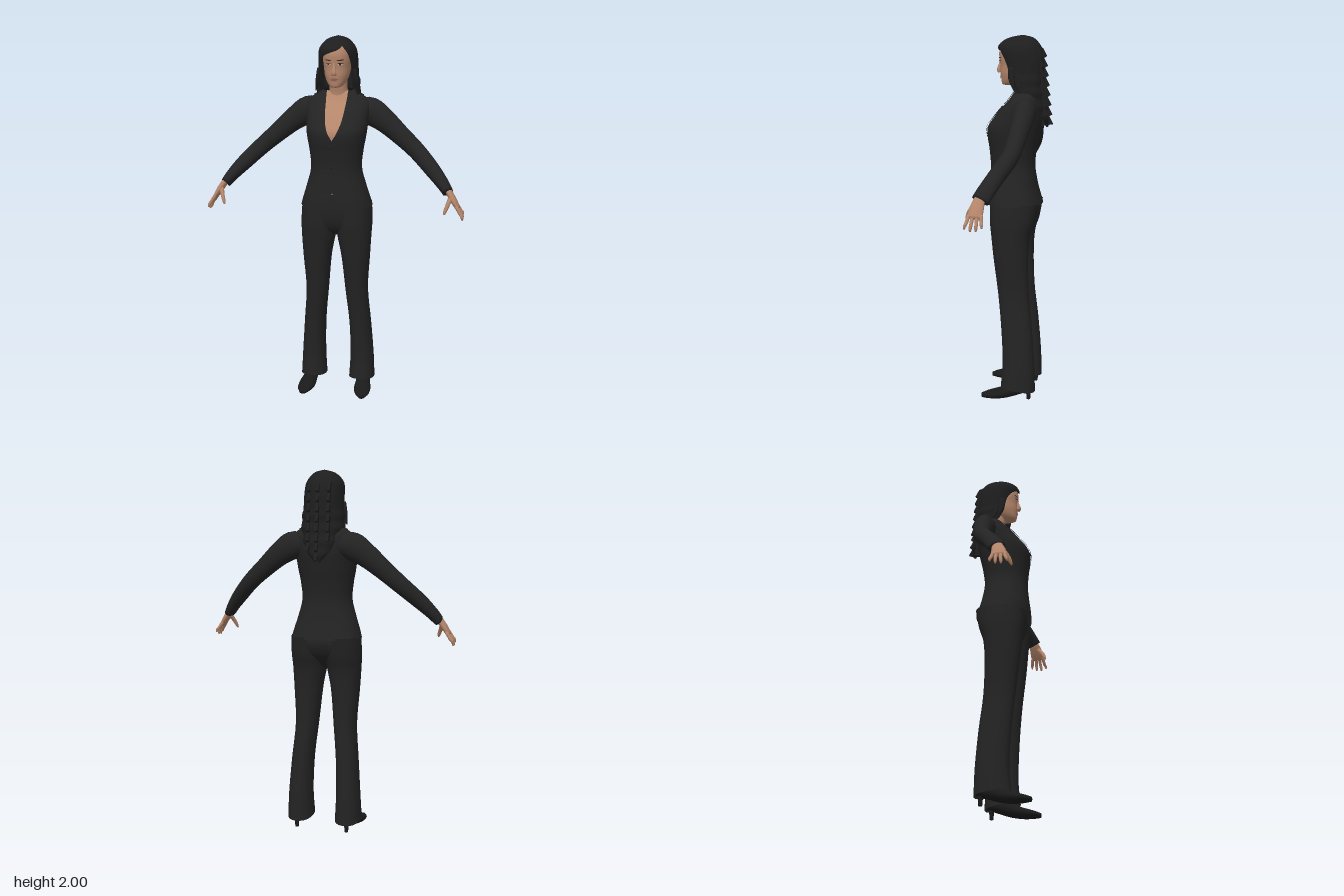
import * as THREE from 'three';
import { mergeVertices } from 'three/addons/utils/BufferGeometryUtils.js';

const mat = (name, color, side = THREE.DoubleSide) => {
  const m = new THREE.MeshStandardMaterial({ color, side });
  m.name = name;
  return m;
};

// smooth interpolation of a table whose rows start with an ascending key
function at(table, k) {
  const n = table.length - 1;
  let i = 0;
  while (i < n - 1 && k > table[i + 1][0]) i++;
  const p = table[i], q = table[i + 1], h = q[0] - p[0];
  const t = THREE.MathUtils.clamp((k - p[0]) / h, 0, 1);
  const slope = (j, c) => {
    const a = table[Math.max(j - 1, 0)], b = table[Math.min(j + 1, n)];
    return (b[c] - a[c]) / (b[0] - a[0]);
  };
  return p.map((_, c) => {
    const t2 = t * t, t3 = t2 * t;
    return (2 * t3 - 3 * t2 + 1) * p[c] + (t3 - 2 * t2 + t) * h * slope(i, c)
      + (3 * t2 - 2 * t3) * q[c] + (t3 - t2) * h * slope(i + 1, c);
  });
}

// keys of a table with m steps between rows
function steps(table, m) {
  const out = [table[0][0]];
  for (let i = 1; i < table.length; i++)
    for (let j = 1; j <= m; j++) out.push(THREE.MathUtils.lerp(table[i - 1][0], table[i][0], j / m));
  return out;
}

// smooth grid surface; fn(u, key) gives a point, u runs 0..1
function surface(fn, nu, keys) {
  const pos = [], idx = [], s = nu + 1;
  keys.forEach((k, j) => {
    for (let i = 0; i <= nu; i++) pos.push(...fn(i / nu, k, j));
  });
  for (let j = 0; j < keys.length - 1; j++)
    for (let i = 0; i < nu; i++) {
      const a = j * s + i;
      idx.push(a, a + 1, a + s + 1, a, a + s + 1, a + s);
    }
  let g = new THREE.BufferGeometry();
  g.setAttribute('position', new THREE.Float32BufferAttribute(pos, 3));
  g.setIndex(idx);
  g = mergeVertices(g, 1e-5);
  g.computeVertexNormals();
  return g;
}

function mirrored(g) {
  const m = g.clone().scale(-1, 1, 1), ix = m.index;
  for (let i = 0; i < ix.count; i += 3) {
    const b = ix.getX(i + 1);
    ix.setX(i + 1, ix.getX(i + 2));
    ix.setX(i + 2, b);
  }
  m.computeVertexNormals();
  return m;
}

// body rings: rows [y, half width, front z, back z, centre x]; angle 0 is the front
const E = 0.88;
const pw = (v) => Math.sign(v) * Math.abs(v) ** E;
function ring(table, y, a, off = 0) {
  const [, w, zf, zb, cx = 0] = at(table, y);
  return [cx + (w + off) * pw(Math.sin(a)), y, (zf + zb) / 2 + ((zf - zb) / 2 + off) * pw(Math.cos(a))];
}
const angleAt = (table, y, x) =>
  Math.sign(x) * Math.asin(Math.min(1, Math.abs(x) / Math.max(at(table, y)[1], 1e-4)) ** (1 / E));
const loft = (table, m = 4, nu = 40) => surface((u, y) => ring(table, y, u * Math.PI * 2), nu, steps(table, m));

// closed limb along a path: rows [x, y, z, radius along ref, other radius]
function limb(rows, ref = [0, 0, 1], nu = 14, m = 4) {
  const table = rows.map((r, i) => [i, ...r]), keys = steps(table, m);
  keys.unshift(0);
  keys.push(rows.length - 1);
  const R = new THREE.Vector3(...ref), last = keys.length - 1;
  return surface((u, k, j) => {
    const [, x, y, z, ra, rb] = at(table, k), s = j === 0 || j === last ? 0 : 1;
    const p = at(table, k - 0.05), q = at(table, k + 0.05);
    const t = new THREE.Vector3(q[1] - p[1], q[2] - p[2], q[3] - p[3]).normalize();
    const A = R.clone().addScaledVector(t, -R.dot(t)).normalize();
    const B = t.clone().cross(A), a = u * Math.PI * 2;
    return new THREE.Vector3(x, y, z).addScaledVector(A, s * ra * Math.cos(a))
      .addScaledVector(B, s * rb * Math.sin(a)).toArray();
  }, nu, keys);
}

export function createModel() {
  const model = new THREE.Group();
  const suit = mat('suit black', 0x232323), hairMat = mat('hair black', 0x1e1e1e);
  const skin = mat('skin', 0xb5866b), lip = mat('lips', 0x9a6352), shoeMat = mat('shoe black', 0x1a1a1a);
  const dark = mat('eye dark', 0x3a2a22), white = mat('eye white', 0xc9bdb2);
  const add = (name, geo, m) => {
    const mesh = new THREE.Mesh(geo, m);
    mesh.name = name;
    model.add(mesh);
  };
  const pair = (name, geo, m) => {
    add(name + 'Left', geo, m);
    add(name + 'Right', mirrored(geo), m);
  };

  // jacket with a neckline and a small opening at the hem
  const torso = [[1.09, 0.196, 0.172, -0.13], [1.14, 0.182, 0.17, -0.115], [1.2, 0.163, 0.163, -0.1],
    [1.3, 0.138, 0.155, -0.086], [1.4, 0.146, 0.163, -0.097], [1.46, 0.157, 0.172, -0.11],
    [1.51, 0.164, 0.17, -0.12], [1.56, 0.168, 0.135, -0.128], [1.61, 0.172, 0.095, -0.128],
    [1.65, 0.168, 0.057, -0.12], [1.685, 0.13, 0.032, -0.105], [1.71, 0.075, 0.02, -0.085]];
  const opening = [[1.09, 0.045], [1.14, 0.026], [1.18, 0], [1.32, 0], [1.46, 0], [1.5, 0.022], [1.55, 0.041],
    [1.6, 0.05], [1.68, 0.057], [1.71, 0.058]];
  const edge = (y, extra = 0) => angleAt(torso, y, Math.max(0, at(opening, y)[1]) + extra);
  add('jacket', surface((u, y) => {
    const a = edge(y);
    return ring(torso, y, a + u * (Math.PI * 2 - 2 * a));
  }, 48, steps(torso, 4)), suit);
  add('chest', surface((u, y) => ring(torso, y, (2 * u - 1) * edge(y, 0.012), -0.006), 14,
    steps([[1.45], [1.71]], 18)), skin);
  add('midriff', surface((u, y) => ring(torso, y, (2 * u - 1) * 0.15, -0.008), 6, [1.17, 1.19, 1.21]), skin);

  // lapels and collar
  const flap = (y0, y1, w0, w1) => surface((u, y) => {
    const a = edge(y), w = THREE.MathUtils.mapLinear(y, y0, y1, w0, w1);
    return ring(torso, y, THREE.MathUtils.lerp(a, edge(y, w), u), 0.007);
  }, 6, steps([[y0], [y1]], 12));
  pair('lapel', flap(1.455, 1.625, 0.002, 0.06), suit);
  pair('collarFront', flap(1.635, 1.705, 0.048, 0.012), suit);
  add('collarBack', surface((u, y) => ring(torso, y, 1.1 + u * (Math.PI * 2 - 2.2), 0.007), 24,
    [1.685, 1.7, 1.715]), suit);
  const button = new THREE.SphereGeometry(0.007, 10, 8);
  [1.43, 1.32].forEach((y, i) =>
    add('button' + i, button.clone().scale(1, 1, 0.5).translate(-0.008, y, at(torso, y)[2]), suit));

  // sleeves
  pair('sleeve', limb([[0.1, 1.6, -0.05, 0.06, 0.06], [0.17, 1.595, -0.055, 0.06, 0.076],
    [0.25, 1.545, -0.052, 0.055, 0.064], [0.34, 1.47, -0.04, 0.048, 0.053], [0.43, 1.392, -0.022, 0.045, 0.047],
    [0.52, 1.305, 0.032, 0.045, 0.042], [0.58, 1.24, 0.072, 0.046, 0.034], [0.612, 1.198, 0.096, 0.046, 0.028]],
  [0, 0, 1], 22), suit);

  // hands
  pair('palm', limb([[0.605, 1.225, 0.092, 0.024, 0.016], [0.625, 1.19, 0.102, 0.032, 0.018],
    [0.647, 1.155, 0.11, 0.038, 0.017], [0.668, 1.12, 0.113, 0.036, 0.012]]), skin);
  for (let i = 0; i < 4; i++) {
    const z = 0.084 + i * 0.02, tip = [1.075, 1.06, 1.058, 1.07][i];
    pair('finger' + i, limb([[0.66, 1.135, z, 0.01, 0.01], [0.682, 1.1, z + (i - 1.5) * 0.005, 0.009, 0.009],
      [0.692, tip + 0.015, z + (i - 1.2) * 0.008, 0.008, 0.008], [0.694, tip, z + (i - 1.2) * 0.009, 0.004, 0.004]],
    [0, 0, 1], 8, 3), skin);
  }
  pair('thumb', limb([[0.63, 1.18, 0.12, 0.014, 0.013], [0.615, 1.14, 0.15, 0.012, 0.011],
    [0.604, 1.11, 0.164, 0.009, 0.009], [0.6, 1.095, 0.17, 0.004, 0.004]], [0, 0, 1], 8, 3), skin);

  // trousers
  add('trouserSeat', loft([[0.925, 0.07, 0.07, -0.02], [0.96, 0.15, 0.115, -0.055], [1.01, 0.186, 0.14, -0.098],
    [1.08, 0.188, 0.15, -0.12], [1.17, 0.16, 0.148, -0.09]]), suit);
  const leg = [[0.06, 0.072, 0.082, -0.11, 0.14], [0.2, 0.065, 0.071, -0.105, 0.14], [0.4, 0.06, 0.08, -0.09, 0.13],
    [0.6, 0.062, 0.1, -0.07, 0.112], [0.8, 0.078, 0.125, -0.065, 0.108], [0.92, 0.093, 0.138, -0.075, 0.1],
    [1.0, 0.1, 0.146, -0.1, 0.096], [1.1, 0.097, 0.146, -0.118, 0.094]];
  pair('trouserLeg', surface((u, y) => {
    const p = ring(leg, y, u * Math.PI * 2);
    p[1] += 0.015 * Math.cos(u * Math.PI * 2) * Math.max(0, 1 - (y - 0.06) / 0.1); // slanted hem
    return p;
  }, 28, steps(leg, 4)), suit);

  // shoes with narrow heels
  pair('shoe', limb([[0.145, 0.075, -0.095, 0.026, 0.024], [0.148, 0.068, -0.04, 0.034, 0.034],
    [0.154, 0.045, 0.03, 0.04, 0.034], [0.16, 0.03, 0.09, 0.047, 0.029], [0.166, 0.022, 0.145, 0.04, 0.021],
    [0.17, 0.016, 0.186, 0.018, 0.012]], [1, 0, 0], 18), shoeMat);
  pair('heel', new THREE.CylinderGeometry(0.016, 0.01, 0.07, 12).translate(0.147, 0.035, -0.075), shoeMat);

  // neck and head
  add('neck', loft([[1.62, 0.062, 0.03, -0.08], [1.69, 0.053, 0.025, -0.075], [1.73, 0.048, 0.03, -0.07],
    [1.8, 0.05, 0.04, -0.07]]), skin);
  const head = [[1.732, 0.001, 0.062, 0.06], [1.736, 0.024, 0.088, 0.03], [1.75, 0.042, 0.096, -0.02],
    [1.775, 0.057, 0.099, -0.06], [1.8, 0.065, 0.102, -0.08], [1.84, 0.071, 0.102, -0.1],
    [1.88, 0.075, 0.108, -0.1], [1.92, 0.072, 0.106, -0.1], [1.955, 0.055, 0.082, -0.08], [1.98, 0.001, 0, -0.01]];
  add('head', loft(head), skin);
  add('nose', limb([[0, 1.875, 0.099, 0.006, 0.006], [0, 1.845, 0.104, 0.009, 0.009],
    [0, 1.815, 0.111, 0.012, 0.013], [0, 1.802, 0.107, 0.01, 0.013]]), skin);

  // painted face details laid on the head
  const patch = (x, y, hx, hy, off, tilt = 0) => surface((u, r) => {
    const a = u * Math.PI * 2, dx = r * hx * Math.cos(a);
    const py = y + r * hy * Math.sin(a) + tilt * dx;
    return ring(head, py, angleAt(head, py, x + dx), off);
  }, 16, [1, 0.5, 0]);
  pair('eyeWhite', patch(0.031, 1.858, 0.013, 0.005, 0.0015), white);
  pair('iris', patch(0.031, 1.858, 0.005, 0.0048, 0.0025), dark);
  pair('eyelash', patch(0.031, 1.864, 0.015, 0.002, 0.003), dark);
  pair('eyebrow', patch(0.032, 1.88, 0.018, 0.003, 0.002, 0.1), dark);
  add('upperLip', patch(0, 1.781, 0.022, 0.004, 0.003), lip);
  add('lowerLip', patch(0, 1.773, 0.018, 0.0045, 0.004), lip);

  // long hair, parted to one side, falling to a point on the back
  const hair = [[1.51, 0.03, 0.0, -0.162], [1.58, 0.085, 0.02, -0.158], [1.65, 0.108, 0.045, -0.148],
    [1.72, 0.116, 0.058, -0.138], [1.8, 0.107, 0.075, -0.136], [1.87, 0.105, 0.1, -0.134],
    [1.93, 0.098, 0.116, -0.122], [1.965, 0.075, 0.092, -0.1], [1.988, 0.045, 0.045, -0.07], [2, 0, -0.02, -0.02]];
  const hairline = [[1.51, 2.6, 2.6], [1.6, 2.0, 2.0], [1.66, 1.4, 1.4], [1.7, 1.05, 1.05], [1.76, 0.85, 0.85],
    [1.85, 0.85, 0.85], [1.9, 0.75, 0.55], [1.93, 0.62, -0.1], [1.955, 0.45, -0.45], [2, 0.45, -0.45]];
  add('hair', surface((u, y) => {
    const [, l, r] = at(hairline, y);
    return ring(hair, y, l + u * (Math.PI * 2 - l - r), 0.003 * Math.sin(y * 90) * (y < 1.8 ? 1 : 0));
  }, 48, steps(hair, 5)), hairMat);

  // jagged locks down the back
  [[-0.058, 0.0, 6], [0, 0.012, 8], [0.052, 0.0, 7]].forEach(([x, out, n], k) => {
    const s = new THREE.Shape();
    s.moveTo(0.09, 1.94);
    for (let i = 0; i < n; i++) {
      const y = 1.93 - i * 0.052, d = 0.112 + i * 0.005 + out;
      s.lineTo(d + 0.005, y);
      s.lineTo(d + 0.026, y - 0.042);
    }
    s.lineTo(0.12, 1.93 - n * 0.052);
    add('backLock' + k, new THREE.ExtrudeGeometry(s, { depth: 0.016, bevelEnabled: false })
      .rotateY(Math.PI / 2).translate(x - 0.008, 0, 0), hairMat);
  });
  // loose locks beside the neck
  for (let i = 0; i < 3; i++)
    pair('sideLock' + i, limb([[0.096, 1.83 - i * 0.03, 0.03 - i * 0.035, 0.016, 0.01],
      [0.104, 1.77 - i * 0.03, 0.025 - i * 0.035, 0.018, 0.012],
      [0.118, 1.71 - i * 0.015, 0.01 - i * 0.035, 0.004, 0.003]], [0, 0, 1], 8, 3), hairMat);
  return model;
}
